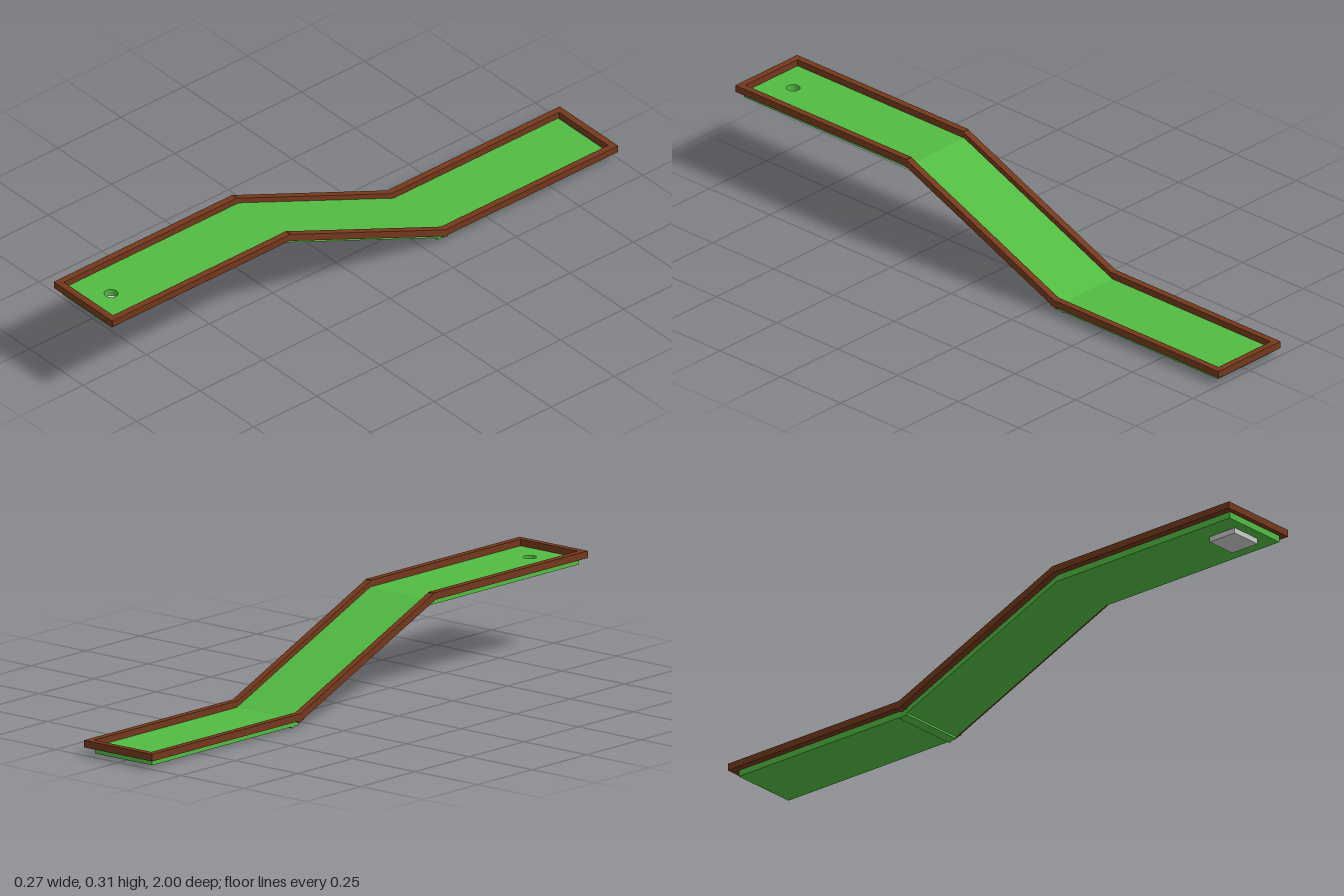
import * as THREE from 'three';

export function createModel() {
  const group = new THREE.Group();
  const mat = (color) => new THREE.MeshStandardMaterial({ color });
  const turf = mat(0x52bb42), wood = mat(0x73381c), grey = mat(0xcccccc);

  const add = (name, geometry, material) => {
    const mesh = new THREE.Mesh(geometry, material);
    mesh.name = name;
    group.add(mesh);
    return mesh;
  };

  // Straight bar whose top edge runs between two [z, y] points
  const bar = (name, x, width, thick, [z1, y1], [z2, y2], material) => {
    const geometry = new THREE.BoxGeometry(width, thick, Math.hypot(z2 - z1, y2 - y1));
    geometry.translate(0, -thick / 2, 0);
    const mesh = add(name, geometry, material);
    mesh.position.set(x, (y1 + y2) / 2, (z1 + z2) / 2);
    mesh.rotation.x = -Math.atan2(y1 - y2, z1 - z2);
  };

  const T = 0.022; // thickness of turf slabs and rails
  const R = 0.114; // half width of the turf

  // Upper green with the hole cut through it (shape y becomes -z)
  const shape = new THREE.Shape();
  shape.moveTo(-R, -0.984);
  shape.lineTo(R, -0.984);
  shape.lineTo(R, -0.288);
  shape.lineTo(-R, -0.288);
  shape.closePath();
  const hole = new THREE.Path();
  hole.absarc(0, -0.889, 0.021, 0, Math.PI * 2, true);
  shape.holes.push(hole);
  const slab = new THREE.ExtrudeGeometry(shape, { depth: T, bevelEnabled: false, curveSegments: 32 });
  slab.rotateX(-Math.PI / 2);
  slab.translate(0, 0.2655, 0);
  add('upperGreen', slab, turf);

  // Ramp and lower green
  bar('rampTurf', 0, 2 * R, T, [0.288, 0.2875], [-0.341, 0.0205], turf);
  bar('lowerGreen', 0, 2 * R, T, [-0.304, 0.0275], [-0.975, 0.0275], turf);

  // Cup base under the hole
  add('cupBase', new THREE.BoxGeometry(0.104, 0.0175, 0.1), grey).position.set(0, 0.25675, 0.9);

  // Side rails
  for (const [side, s] of [['left', 1], ['right', -1]]) {
    const x = s * (R + T / 2);
    bar(side + 'UpperRail', x, T, T, [1, 0.308], [0.292, 0.308], wood);
    bar(side + 'RampRail', x, T, T, [0.297, 0.3085], [-0.334, 0.0405], wood);
    bar(side + 'LowerRail', x, T, T, [-0.304, 0.0475], [-1, 0.0475], wood);
  }

  // End rails
  bar('frontRail', 0, 2 * R, T, [1, 0.308], [0.978, 0.308], wood);
  bar('backRail', 0, 2 * R, T, [-0.978, 0.0475], [-1, 0.0475], wood);

  return group;
}
